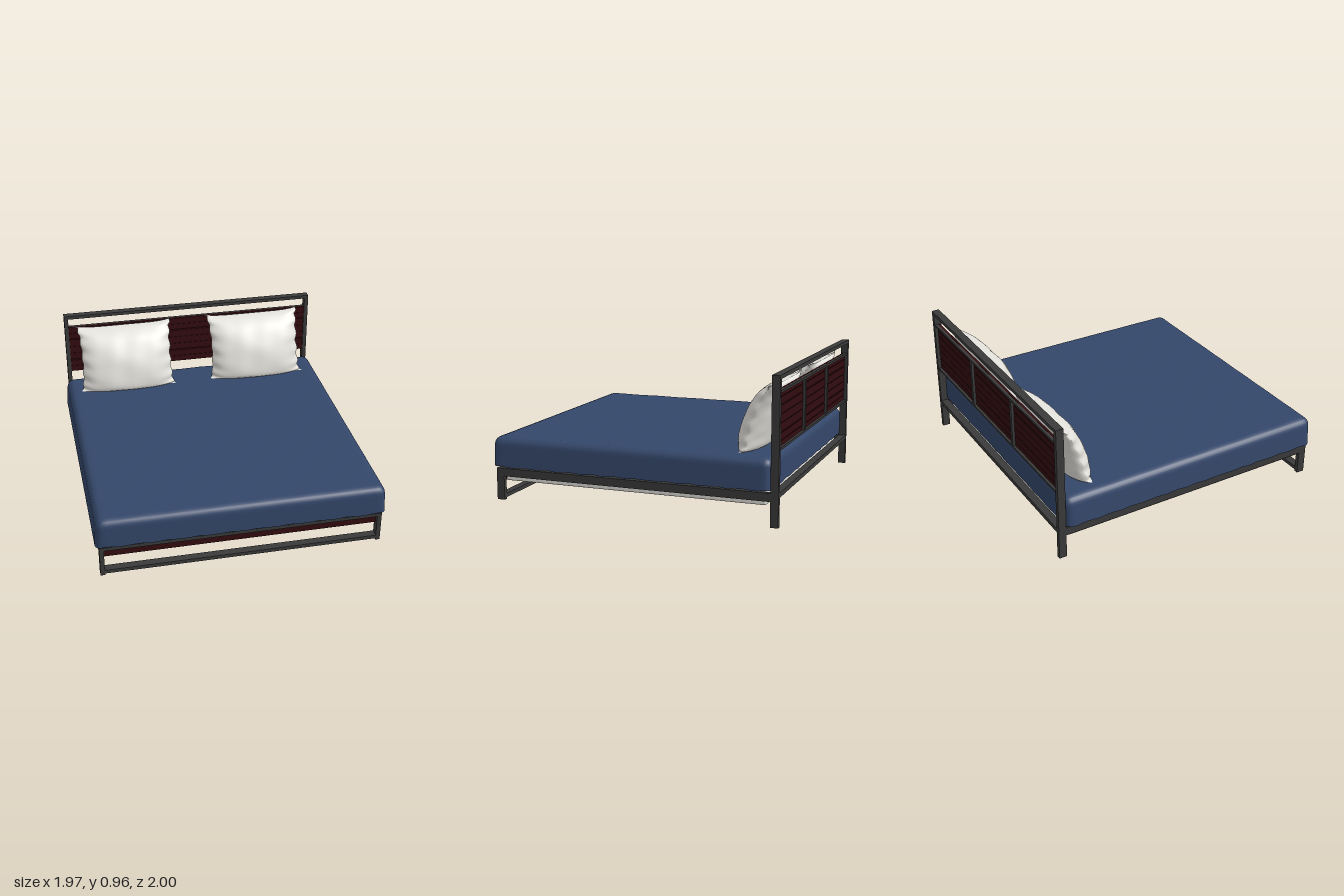
import * as THREE from 'three';
import { mergeGeometries, mergeVertices, toCreasedNormals } from 'three/addons/utils/BufferGeometryUtils.js';
import { RoundedBoxGeometry } from 'three/addons/geometries/RoundedBoxGeometry.js';

const mat = (name, color) => {
  const m = new THREE.MeshStandardMaterial({ color });
  m.name = name;
  return m;
};

// Drop normals and uvs and join coincident vertices so the surface shades smoothly
function weld(geometry) {
  geometry.deleteAttribute('normal');
  geometry.deleteAttribute('uv');
  return mergeVertices(geometry, 1e-5);
}

// Move every vertex of a geometry by a rule
function deform(geometry, rule) {
  const pos = geometry.attributes.position;
  const p = new THREE.Vector3();
  for (let i = 0; i < pos.count; i++) {
    rule(p.fromBufferAttribute(pos, i));
    pos.setXYZ(i, p.x, p.y, p.z);
  }
  return geometry;
}

// Sheeted mattress: rounded upper edges, flared sides, slightly uneven hem
function mattressGeometry() {
  const hx = 0.985, hz = 0.975, y0 = 0.235, y1 = 0.435, r = 0.05;
  const core = new THREE.Vector3();
  const g = deform(new THREE.BoxGeometry(2, 1, 2, 40, 12, 40), p => {
    const t = p.y + 0.5;
    p.set(Math.sin(p.x * Math.PI / 2) * hx, y0 + t * (y1 - y0), Math.sin(p.z * Math.PI / 2) * hz);
    core.set(
      THREE.MathUtils.clamp(p.x, -hx + r, hx - r),
      Math.min(p.y, y1 - r),
      THREE.MathUtils.clamp(p.z, -hz + r, hz - r));
    const d = p.clone().sub(core);
    if (d.lengthSq() > 1e-9) p.copy(core).addScaledVector(d.normalize(), r);
    p.x *= 1 - 0.015 * t;
    const ripple = Math.sin(p.x * 23) * Math.sin(p.z * 19 + 1);
    p.y += t > 0.99 ? 0.0015 * ripple : 0;
    if (t < 0.01) p.y += 0.004 * Math.sin(p.x * 31 + p.z * 37);
    p.z += 0.025;
  });
  return toCreasedNormals(weld(g), 0.9);
}

// Leaning pillow: side profiles of its two faces (z, y), closing on a seam at both ends
const profile = pts => new THREE.SplineCurve(pts.map(([z, y]) => new THREE.Vector2(z, y)));
const frontProfile = profile([[-0.7, 0.437], [-0.648, 0.445], [-0.638, 0.5], [-0.66, 0.6],
  [-0.7, 0.7], [-0.77, 0.8], [-0.85, 0.855], [-0.92, 0.868]]);
const backProfile = profile([[-0.7, 0.437], [-0.82, 0.445], [-0.86, 0.52], [-0.885, 0.6],
  [-0.91, 0.7], [-0.93, 0.78], [-0.94, 0.84], [-0.92, 0.868]]);

function pillowGeometry() {
  const half = side => {
    const g = new THREE.PlaneGeometry(2, 1, 48, 36);
    if (side < 0) g.rotateY(Math.PI);
    return deform(g, p => {
      const u = Math.sin(p.x * Math.PI / 2), t = THREE.MathUtils.clamp(p.y + 0.5, 0, 1);
      const v = 2 * t - 1;
      const f = frontProfile.getPoint(t), b = backProfile.getPoint(t);
      const fullness = Math.pow(Math.max(0, 1 - Math.pow(Math.abs(u), 3.2)), 0.65);
      const k = 0.5 + 0.5 * side * fullness;
      const edge = Math.pow(Math.abs(u), 6);
      // Puckers along the side seams and soft creases over the faces
      const pucker = edge * Math.sin(t * 42 + u * 2);
      const crease = fullness * (1 - v * v) * Math.sin(u * 9 + t * 7) * Math.sin(t * 11 - u * 4);
      p.x = u * 0.365 * (1 - 0.075 * (1 - v * v)) + 0.005 * pucker * Math.sign(u);
      p.y = THREE.MathUtils.lerp(b.y, f.y, k) + 0.02 * edge * t ** 4;
      p.z = THREE.MathUtils.lerp(b.x, f.x, k) + 0.006 * pucker + 0.004 * crease;
    });
  };
  const g = weld(mergeGeometries([half(1), half(-1)]));
  return toCreasedNormals(g, 1.2);
}

export function createModel() {
  const model = new THREE.Group();
  model.name = 'bed';
  const metal = mat('dark metal', 0x3a3a3b);
  const wood = mat('dark red wood', 0x330c10);
  const sheet = mat('blue sheet', 0x34476a);
  const linen = mat('off white linen', 0xe4e2dc);

  const add = (name, geometry, material, parent = model) => {
    const mesh = new THREE.Mesh(geometry, material);
    mesh.name = name;
    parent.add(mesh);
    return mesh;
  };
  // Box given by its limits on each axis
  const box = (name, material, [x0, x1], [y0, y1], [z0, z1], parent) =>
    add(name, new THREE.BoxGeometry(x1 - x0, y1 - y0, z1 - z0), material, parent)
      .position.set((x0 + x1) / 2, (y0 + y1) / 2, (z0 + z1) / 2);

  // Metal frame
  const frame = new THREE.Group();
  frame.name = 'frame';
  model.add(frame);
  const inner = [-0.93, 0.93], back = [-1, -0.947], front = [0.925, 0.98];
  for (const s of [-1, 1]) {
    const x = s < 0 ? [-0.96, -0.93] : [0.93, 0.96];
    const side = s < 0 ? 'right' : 'left';
    box(side + 'HeadPost', metal, x, [0, 0.96], back, frame);
    box(side + 'FrontLeg', metal, x, [0, 0.22], front, frame);
    box(side + 'SideRail', metal, x, [0.165, 0.22], [-0.947, 0.925], frame);
  }
  box('headTopRail', metal, inner, [0.935, 0.96], back, frame);
  box('headLowerRail', metal, inner, [0.19, 0.22], back, frame);
  box('footTopRail', metal, inner, [0.195, 0.22], front, frame);
  box('footBottomRail', metal, inner, [0.012, 0.038], front, frame);

  // Headboard: three planks with narrow gaps, each scored by shallow grooves
  const headboard = new THREE.Group();
  headboard.name = 'headboard';
  model.add(headboard);
  const plankEdges = [[0.485, 0.582], [0.588, 0.757], [0.763, 0.86]];
  for (const [y0, y1] of plankEdges) {
    box('plankCore', wood, inner, [y0, y1], [-0.974, -0.961], headboard);
    const n = Math.round((y1 - y0) / 0.05), h = (y1 - y0) / n;
    for (let i = 0; i < n; i++)
      box('plankFace', wood, inner, [y0 + i * h + 0.002, y0 + (i + 1) * h - 0.002], [-0.977, -0.957], headboard);
  }
  // Bracing behind the planks
  for (const y of [0.485, 0.845])
    box('backBrace', metal, inner, [y, y + 0.015], [-0.995, -0.975], headboard);
  for (const x of [-0.31, 0.31])
    box('backDivider', metal, [x - 0.013, x + 0.013], [0.485, 0.86], [-0.995, -0.975], headboard);

  // Foot panel
  box('footPanel', wood, inner, [0.13, 0.197], [0.93, 0.95]);

  // Mattress base and sheeted mattress
  add('mattressBase', new RoundedBoxGeometry(1.858, 0.112, 1.84, 3, 0.012), linen).position.set(0, 0.186, 0.008);
  add('mattress', mattressGeometry(), sheet);

  // Pillows
  const pillow = pillowGeometry();
  add('rightPillow', pillow, linen).position.x = -0.515;
  add('leftPillow', pillow, linen).position.x = 0.49;

  return model;
}
